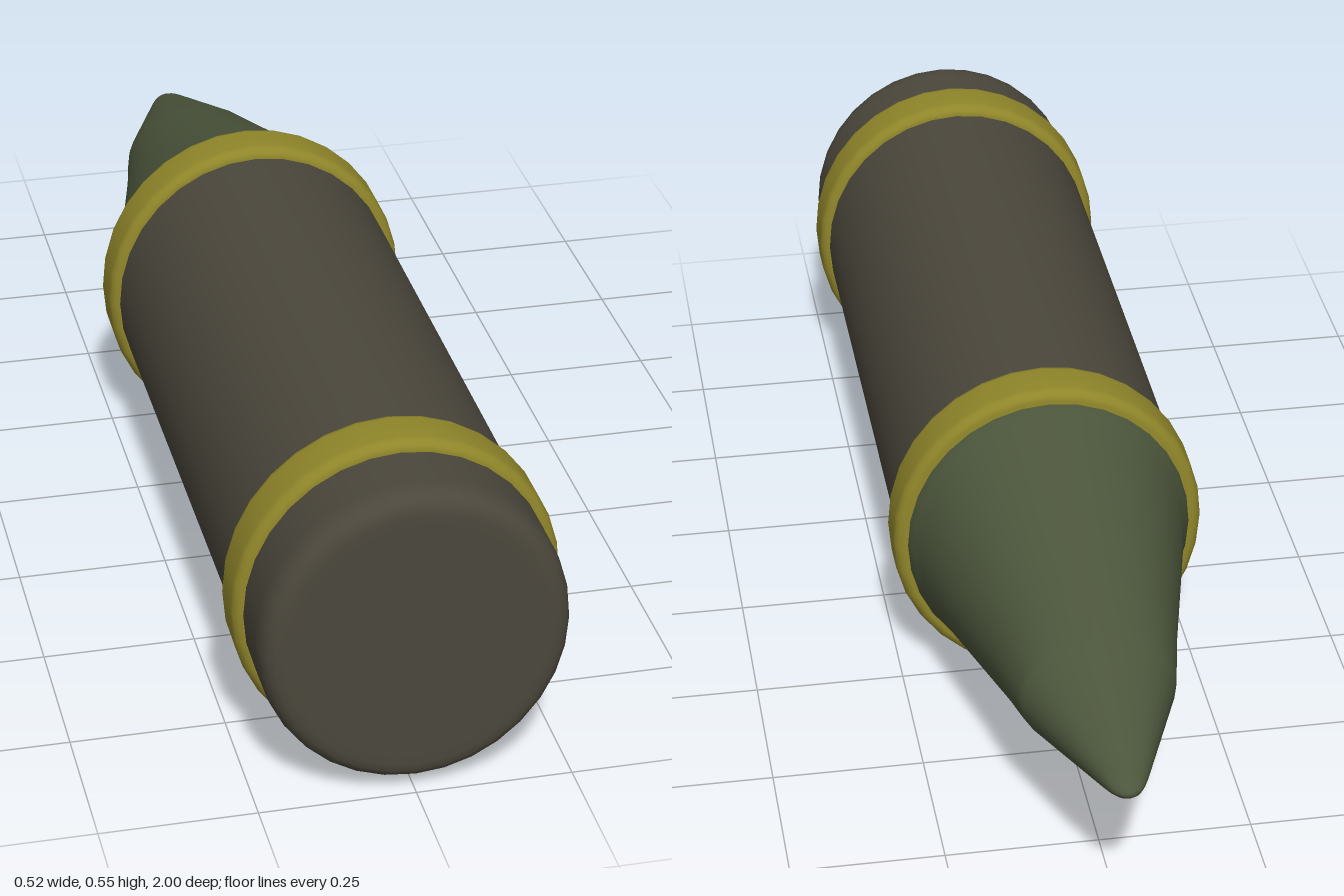
import * as THREE from 'three';
import { mergeVertices } from 'three/addons/utils/BufferGeometryUtils.js';

const SIDES = 32;
const AXIS_Y = 0.278;

// Smooth elliptical loft along z; sections are [z, half width, half height], nose to base
function loft(name, color, sections) {
  let geo = new THREE.LatheGeometry(sections.map(([z, rx]) => new THREE.Vector2(rx, z)), SIDES);
  geo.rotateX(Math.PI / 2);
  const pos = geo.attributes.position;
  for (let i = 0; i < pos.count; i++) {
    const [, rx, ry] = sections[i % sections.length];
    pos.setY(i, rx > 0 ? pos.getY(i) * ry / rx : 0);
  }
  geo.deleteAttribute('uv');
  geo.deleteAttribute('normal');
  geo = mergeVertices(geo, 1e-5);
  geo.computeVertexNormals();
  const mesh = new THREE.Mesh(geo, new THREE.MeshStandardMaterial({ color }));
  mesh.name = name;
  mesh.position.y = AXIS_Y;
  return mesh;
}

// Rounded band around the body
function band(name, z) {
  const rx = 0.262, ry = 0.276, h = 0.048;
  const profile = [
    [-h, 0.05], [-h, 0.017], [-h + 0.004, 0.009], [-h + 0.01, 0.003], [-h + 0.02, 0],
    [h - 0.02, 0], [h - 0.01, 0.003], [h - 0.004, 0.009], [h, 0.017], [h, 0.05],
  ];
  return loft(name, 0x90862a, profile.map(([dz, inset]) => [z + dz, rx - inset, ry - inset]));
}

export function createModel() {
  const group = new THREE.Group();
  group.name = 'shell';

  // Casing with a rounded base edge
  group.add(loft('casing', 0x4b473c, [
    [-0.24, 0, 0], [-0.24, 0.235, 0.247], [-0.22, 0.245, 0.258],
    [0.95, 0.245, 0.258], [0.968, 0.244, 0.257], [0.982, 0.24, 0.253],
    [0.992, 0.233, 0.246], [0.998, 0.223, 0.236], [1, 0.21, 0.223], [1, 0.19, 0.203], [1, 0, 0],
  ]));

  // Pointed nose, flattened slightly towards the tip
  group.add(loft('nose', 0x4c563c, [
    [-1, 0, 0], [-0.998, 0.009, 0.006], [-0.99, 0.02, 0.012], [-0.975, 0.029, 0.019],
    [-0.955, 0.038, 0.026], [-0.735, 0.124, 0.102], [-0.72, 0.128, 0.107],
    [-0.62, 0.148, 0.14], [-0.31, 0.222, 0.238], [-0.28, 0.232, 0.249], [-0.255, 0.243, 0.256], [-0.2, 0.244, 0.257],
  ]));

  group.add(band('frontBand', -0.217), band('baseBand', 0.822));
  return group;
}
